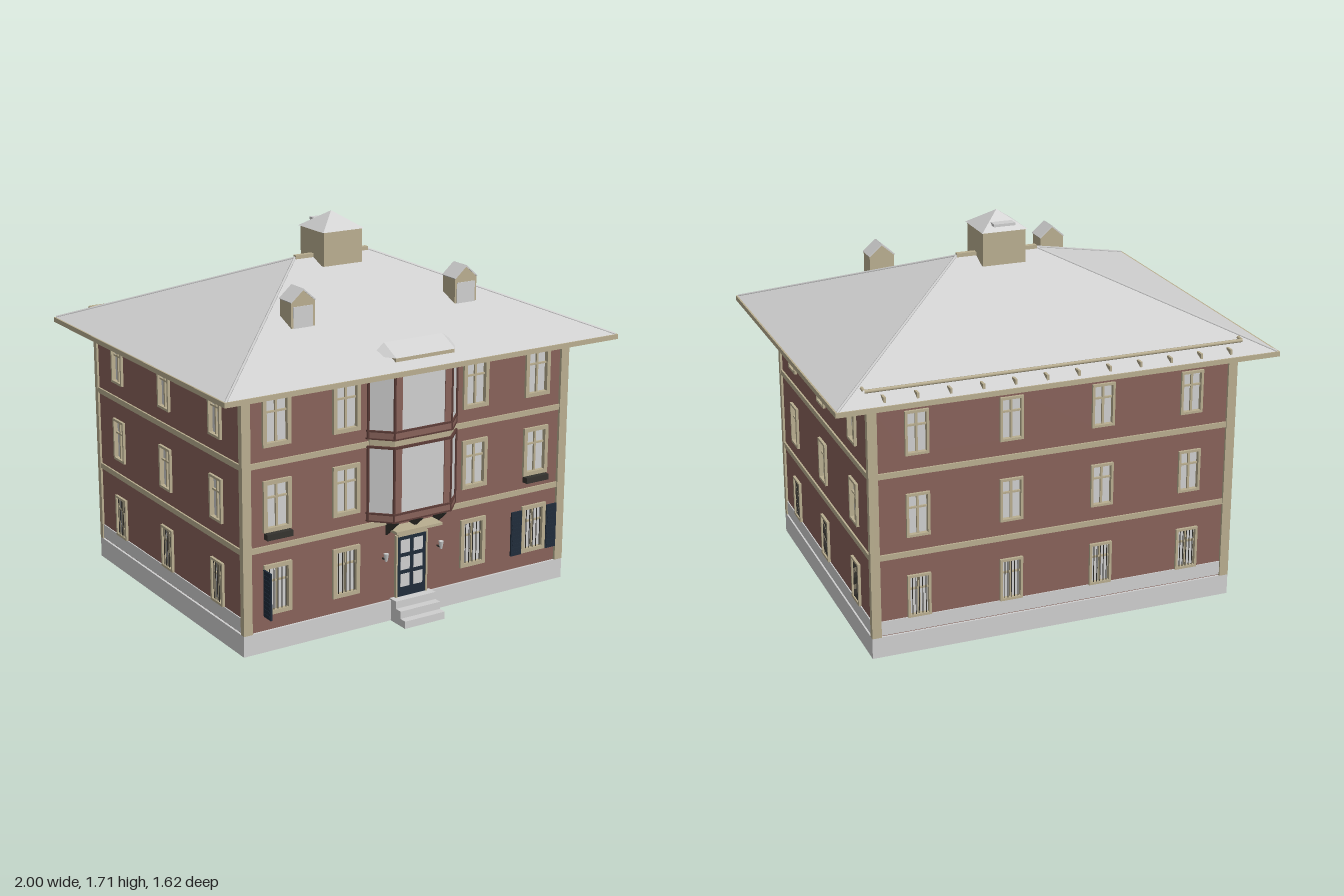
import * as THREE from 'three';

const mat = (name, color, side = THREE.FrontSide) => {
  const m = new THREE.MeshStandardMaterial({ color, side });
  m.name = name;
  return m;
};

export function createModel() {
  const root = new THREE.Group();
  root.name = 'townHouse';
  const brick = mat('brick red', 0x88625a, THREE.DoubleSide);
  const stone = mat('pale grey', 0xcfcfcf, THREE.DoubleSide);
  const trim = mat('beige trim', 0xb9ae90);
  const darkRed = mat('dark red', 0x5c3c37);
  const navy = mat('navy', 0x202c3a);
  const iron = mat('dark iron', 0x35332f);

  const add = (parent, name, geo, material, x = 0, y = 0, z = 0) => {
    const m = new THREE.Mesh(geo, material);
    m.name = name;
    m.position.set(x, y, z);
    parent.add(m);
    return m;
  };
  // box from its limits
  const box = (parent, name, material, x0, x1, y0, y1, z0, z1) =>
    add(parent, name, new THREE.BoxGeometry(x1 - x0, y1 - y0, z1 - z0), material,
      (x0 + x1) / 2, (y0 + y1) / 2, (z0 + z1) / 2);
  // unit box whose corners (signs) are moved by a rule
  const shaped = (rule) => {
    const g = new THREE.BoxGeometry(2, 2, 2).toNonIndexed();
    const p = g.attributes.position;
    for (let i = 0; i < p.count; i++) p.setXYZ(i, ...rule(p.getX(i), p.getY(i), p.getZ(i)));
    g.computeVertexNormals();
    return g;
  };
  // upright prism from a plan outline of [x, z] points
  const prism = (parent, name, material, pts, y0, y1) => {
    const s = new THREE.Shape(pts.map(([x, z]) => new THREE.Vector2(x, -z)));
    const g = new THREE.ExtrudeGeometry(s, { depth: y1 - y0, bevelEnabled: false });
    return add(parent, name, g.rotateX(-Math.PI / 2), material, 0, y0, 0);
  };
  const rect = (Cls, x0, x1, y0, y1) => new Cls([[x0, y0], [x1, y0], [x1, y1], [x0, y1]]
    .map(([x, y]) => new THREE.Vector2(x, y)));
  const rod = (parent, name, material, a, b, r) => {
    const c = new THREE.LineCurve3(new THREE.Vector3(...a), new THREE.Vector3(...b));
    return add(parent, name, new THREE.TubeGeometry(c, 1, r, 6), material);
  };

  // one window: pane, surround, glazing bars and optional iron bars
  const window_ = (parent, x, y0, w, h, t, barred) => {
    const g = new THREE.Group();
    g.name = 'window';
    g.position.set(x, y0, 0);
    parent.add(g);
    const s = rect(THREE.Shape, -w / 2, w / 2, 0, h);
    s.holes.push(rect(THREE.Path, -w / 2 + t, w / 2 - t, t, h - t));
    add(g, 'windowFrame', new THREE.ExtrudeGeometry(s, { depth: 0.024, bevelEnabled: false }), trim, 0, 0, -0.012);
    add(g, 'windowPane', new THREE.PlaneGeometry(w - t, h - t), stone, 0, h / 2, -0.008);
    box(g, 'mullion', trim, -0.005, 0.005, t, h - t, -0.007, 0.002);
    box(g, 'transom', trim, -w / 2 + t, w / 2 - t, h * 0.64, h * 0.64 + 0.008, -0.007, 0.002);
    if (barred) for (let i = -2; i <= 2; i++)
      box(g, 'windowBar', iron, i * w * 0.145 - 0.0015, i * w * 0.145 + 0.0015, t, h - t, 0.004, 0.007);
  };

  // a facade in local coordinates, outward along +z
  const facade = (name, half, cols, win, base, x, z, turn) => {
    const g = new THREE.Group();
    g.name = name;
    g.position.set(x, 0, z);
    g.rotation.y = turn;
    root.add(g);
    const s = rect(THREE.Shape, -half, half, 0.09, 1.16);
    for (const cx of cols) win.rows.forEach((y, r) => {
      const w = win.w / 2 - 0.004;
      s.holes.push(rect(THREE.Path, cx - w, cx + w, y + 0.004, y + win.h - 0.004));
      window_(g, cx, y, win.w, win.h, win.t, r === 0);
    });
    add(g, 'brickWall', new THREE.ShapeGeometry(s), brick);
    for (const y of [0.45, 0.82]) box(g, 'beltCourse', trim, -half, half, y, y + 0.025, 0, 0.008);
    if (base) box(g, 'baseBand', stone, -half, half, 0.1, 0.165, 0, 0.005);
    return g;
  };
  const plain = { rows: [0.165, 0.54, 0.91], w: 0.105, h: 0.197, t: 0.011 };
  const fancy = { rows: [0.165, 0.535, 0.905], w: 0.135, h: 0.225, t: 0.018 };
  const front = facade('frontFacade', 0.835, [-0.675, -0.335, 0.335, 0.675], fancy, false, 0, 0.65, 0);
  facade('backFacade', 0.835, [-0.63, -0.21, 0.21, 0.63], plain, true, 0, -0.71, Math.PI);
  for (const s of [-1, 1])
    facade(s > 0 ? 'leftFacade' : 'rightFacade', 0.68, [-0.46, 0, 0.46], plain, true, s * 0.835, -0.03, s * Math.PI / 2);

  // plinth ring, open underneath
  const ring = rect(THREE.Shape, -0.845, 0.845, -0.66, 0.72);
  ring.holes.push(rect(THREE.Path, -0.833, 0.833, -0.648, 0.708));
  add(root, 'plinth', new THREE.ExtrudeGeometry(ring, { depth: 0.095, bevelEnabled: false }).rotateX(-Math.PI / 2), stone);

  // corner posts
  for (const s of [-1, 1]) {
    const [a, b] = s > 0 ? [0.803, 0.845] : [-0.845, -0.803];
    box(root, 'frontCornerPost', trim, a, b, 0.095, 1.16, 0.635, 0.663);
    box(root, 'backCornerPost', trim, a, b, 0.095, 1.16, -0.722, -0.695);
  }

  // entrance steps
  for (let i = 0; i < 3; i++)
    box(root, 'step', stone, -0.105, 0.105, i * 0.034, (i + 1) * 0.034, 0.65, 0.772 - i * 0.036);

  // door with glazed panels
  box(front, 'door', navy, -0.075, 0.075, 0.102, 0.385, 0, 0.012);
  for (const s of [-1, 1]) {
    for (let r = 0; r < 3; r++)
      box(front, 'doorPane', stone, s * 0.034 - 0.024, s * 0.034 + 0.024, 0.147 + r * 0.079, 0.207 + r * 0.079, 0.01, 0.014);
    box(front, 'doorJamb', trim, s * 0.079 - 0.004, s * 0.079 + 0.004, 0.102, 0.39, 0, 0.016);
  }
  box(front, 'doorLintel', trim, -0.075, 0.075, 0.385, 0.42, 0, 0.02);
  box(front, 'doorCanopy', trim, -0.125, 0.115, 0.425, 0.437, 0, 0.08);
  for (const x of [-0.125, 0, 0.125]) {
    const s = new THREE.Shape([[0, 0.4], [0.09, 0.48], [0, 0.485]].map(([a, b]) => new THREE.Vector2(a, b)));
    const g = new THREE.ExtrudeGeometry(s, { depth: 0.012, bevelEnabled: false }).rotateY(-Math.PI / 2);
    add(front, 'bayBracket', g, iron, x + 0.006, 0, 0);
  }
  // wall lanterns
  for (const s of [-1, 1]) {
    add(front, 'lantern', new THREE.CylinderGeometry(0.012, 0.006, 0.035, 6), stone, s * 0.145, 0.31, 0.03);
    box(front, 'lanternArm', iron, s * 0.145 - 0.003, s * 0.145 + 0.003, 0.295, 0.301, 0, 0.03);
  }

  // shutters, one of them swung outward
  const shutter = (x, turn) => {
    const g = new THREE.Group();
    g.name = 'shutter';
    g.position.set(x, 0.165, 0.012);
    g.rotation.y = turn;
    front.add(g);
    box(g, 'shutterPanel', navy, 0, 0.058, 0, 0.21, -0.004, 0.004);
    for (let i = 0; i < 10; i++)
      box(g, 'shutterSlat', navy, 0.006, 0.052, 0.012 + i * 0.019, 0.02 + i * 0.019, -0.006, 0.006);
  };
  shutter(0.545, 0);
  shutter(0.743, 0);
  shutter(-0.745, -Math.PI / 2);

  // window boxes
  for (const s of [-1, 1])
    box(front, 'windowBox', iron, s * 0.675 - 0.062, s * 0.675 + 0.062, 0.505, 0.532, 0, 0.03);

  // two storey bay window
  const plan = (k) => [[-0.235 + k, 0.645], [-0.235 + k, 0.66], [-0.15 + k / 2, 0.747 - k],
    [0.15 - k / 2, 0.747 - k], [0.235 - k, 0.66], [0.235 - k, 0.645]];
  const bay = new THREE.Group();
  bay.name = 'bayWindow';
  root.add(bay);
  for (const [y0, y1] of [[0.487, 0.828], [0.857, 1.157]]) {
    prism(bay, 'bayApron', brick, plan(0.004), y0 + 0.006, y0 + 0.036);
    prism(bay, 'bayLowerTrim', darkRed, plan(0), y0, y0 + 0.006);
    prism(bay, 'baySill', darkRed, plan(0), y0 + 0.033, y0 + 0.041);
    prism(bay, 'bayGlass', stone, plan(0.009), y0 + 0.04, y1 - 0.008);
    prism(bay, 'bayHead', darkRed, plan(0), y1 - 0.01, y1);
    for (const s of [-1, 1]) {
      box(bay, 'bayPier', brick, s * 0.128 - 0.018, s * 0.128 + 0.018, y0 + 0.04, y1 - 0.01, 0.735, 0.742);
      rod(bay, 'bayEdge', darkRed, [s * 0.147, y0, 0.739], [s * 0.147, y1, 0.739], 0.006);
      rod(bay, 'bayEdge', darkRed, [s * 0.229, y0, 0.66], [s * 0.229, y1, 0.66], 0.006);
    }
  }
  prism(bay, 'bayMiddleBand', trim, plan(0.012), 0.828, 0.857);
  box(bay, 'bayRoofBase', trim, -0.15, 0.15, 1.2, 1.222, 0.66, 0.745);
  add(bay, 'bayRoof', shaped((x, y, z) => [
    x * (y > 0 || z > 0 ? 0.15 : 0.213), y > 0 ? 1.268 : 1.22, y < 0 && z > 0 ? 0.75 : 0.655]), stone);

  // main hipped roof with eaves
  box(root, 'eaves', trim, -1, 1, 1.156, 1.178, -0.81, 0.81);
  add(root, 'mainRoof', shaped((x, y, z) => y > 0 ? [x * 0.19, 1.513, 0] : [x * 0.995, 1.177, z * 0.806]), stone);
  box(root, 'ridgeCap', trim, -0.19, 0.19, 1.5, 1.525, -0.012, 0.012);
  for (const x of [-1, 1]) for (const z of [-1, 1])
    rod(root, 'hipCap', stone, [x * 0.19, 1.513, 0], [x * 0.99, 1.179, z * 0.802], 0.006);

  // central turret
  box(root, 'turret', trim, -0.1, 0.1, 1.48, 1.635, -0.097, 0.1);
  add(root, 'turretRoof', shaped((x, y, z) => y > 0 ? [0, 1.707, 0] : [x * 0.107, 1.633, z * 0.107]), stone);
  box(root, 'turretHatch', stone, -0.05, 0.05, 1.655, 1.667, -0.103, -0.058);

  // dormers
  for (const s of [-1, 1]) {
    const d = new THREE.Group();
    d.name = 'dormer';
    d.position.x = s * 0.42;
    root.add(d);
    const gable = new THREE.Shape([[-0.058, 1.3], [0.058, 1.3], [0.058, 1.437], [0, 1.487], [-0.058, 1.437]]
      .map(([a, b]) => new THREE.Vector2(a, b)));
    add(d, 'dormerBody', new THREE.ExtrudeGeometry(gable, { depth: 0.09, bevelEnabled: false }), trim, 0, 0, 0.358);
    box(d, 'dormerPane', stone, -0.048, 0.048, 1.322, 1.418, 0.446, 0.451);
    for (const k of [-1, 1]) {
      const p = box(d, 'dormerRoof', stone, -0.04, 0.04, -0.003, 0.003, -0.048, 0.048);
      p.position.set(k * 0.03, 1.464, 0.403);
      p.rotation.z = -k * 0.711;
    }
  }

  // rail and brackets on the back slope
  const rail = [[-0.855, 1.225, -0.695], [-0.855, 1.222, -0.73], [0.855, 1.222, -0.73], [0.855, 1.225, -0.695]];
  for (let i = 0; i < 3; i++) rod(root, 'roofRail', trim, rail[i], rail[i + 1], 0.008);
  for (let i = 0; i < 12; i++) {
    const x = -0.775 + i * 0.142;
    box(root, 'railBracket', trim, x - 0.005, x + 0.005, 1.185, 1.208, -0.787, -0.75);
  }
  return root;
}
